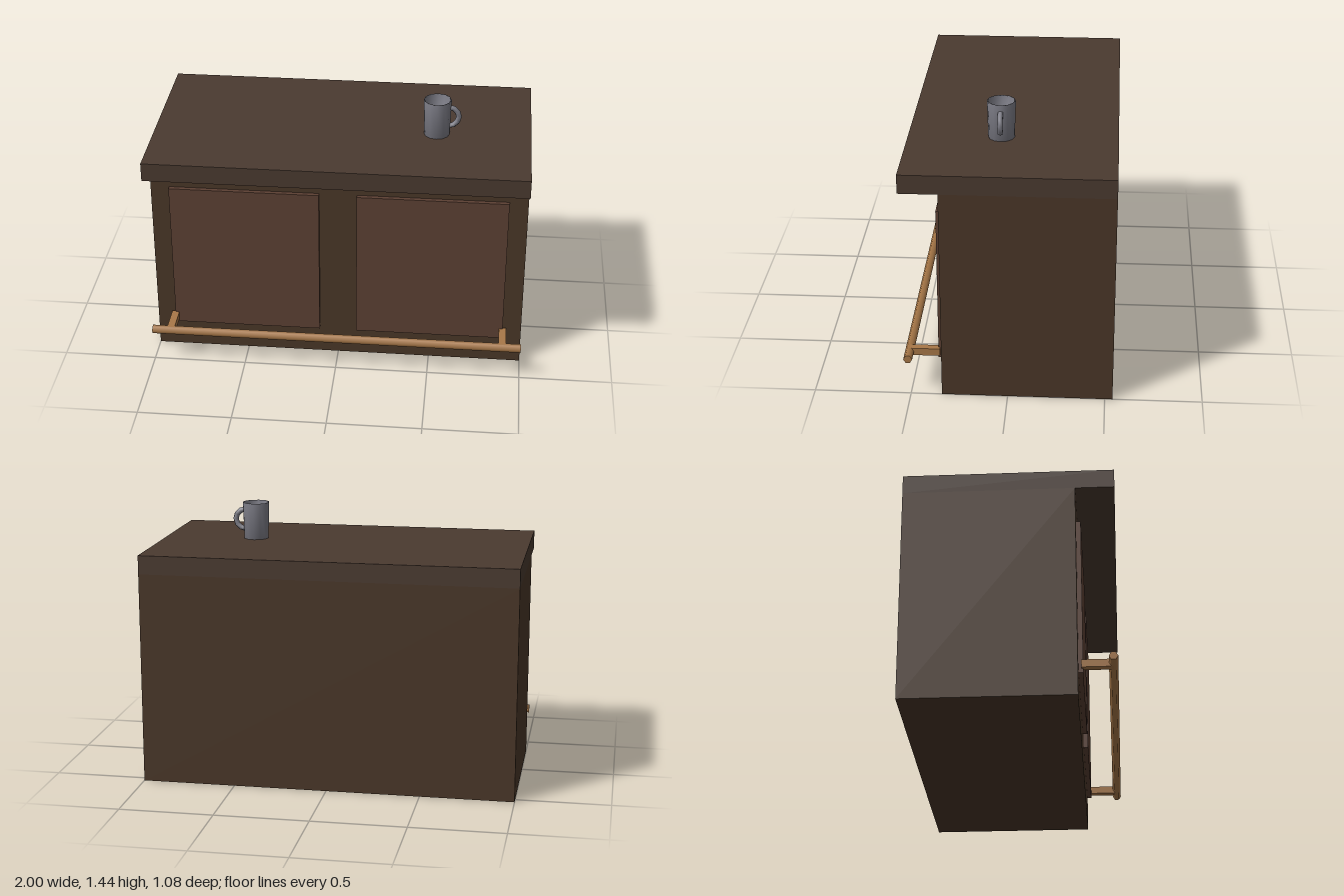
import * as THREE from 'three';

const mat = (color, extra = {}) => new THREE.MeshStandardMaterial({ color, ...extra });

export function createModel() {
  const model = new THREE.Group();
  model.name = 'barCounter';

  const bodyWood = mat(0x4a3728);
  const topWood = mat(0x4a3a30);
  const panelWood = mat(0x5c4033);
  const railMetal = mat(0xa87848);
  const mugMetal = mat(0x80808a, { side: THREE.DoubleSide });

  const add = (name, geometry, material, x, y, z, parent = model) => {
    const mesh = new THREE.Mesh(geometry, material);
    mesh.name = name;
    mesh.position.set(x, y, z);
    parent.add(mesh);
    return mesh;
  };

  // Cabinet and overhanging top, flush at the back and sides
  add('counterBody', new THREE.BoxGeometry(2, 1.14, 0.88), bodyWood, 0, 0.57, -0.1);
  add('counterTop', new THREE.BoxGeometry(2, 0.1, 1.08), topWood, 0, 1.19, 0);

  // Hexagonal foot rail, flats facing up and down
  const rail = new THREE.CylinderGeometry(0.023, 0.023, 2, 6);
  rail.rotateY(Math.PI / 6 + Math.PI / 3).rotateZ(Math.PI / 2);
  rail.computeBoundingBox();
  if (rail.boundingBox.max.y > 0.022) rail.rotateX(Math.PI / 6);
  add('footRail', rail, railMetal, 0, 0.2, 0.513);

  // Front panels and rail brackets, mirrored
  for (const side of [-1, 1]) {
    add('frontPanel', new THREE.BoxGeometry(0.8, 0.84, 0.024), panelWood, side * 0.5, 0.58, 0.352);
    add('railBracket', new THREE.BoxGeometry(0.04, 0.04, 0.158), railMetal, side * 0.9, 0.2, 0.434);
  }

  // Open mug: outer wall, rim, inner wall and floor
  const mug = new THREE.Group();
  mug.name = 'mug';
  mug.position.set(0.5, 1.24, 0.06);
  model.add(mug);
  const profile = [
    [0, 0.001], [0.068, 0.001], [0.074, 0.2], [0.068, 0.2], [0.062, 0.02], [0, 0.02],
  ].map(([r, y]) => new THREE.Vector2(r, y));
  add('mugCup', new THREE.LatheGeometry(profile, 12), mugMetal, 0, 0, 0, mug);

  // Half-ring handle on the left of the mug
  const handle = new THREE.TorusGeometry(0.054, 0.015, 6, 6, Math.PI);
  handle.rotateZ(-Math.PI / 2);
  add('mugHandle', handle, mugMetal, 0.06, 0.105, 0, mug);

  return model;
}
